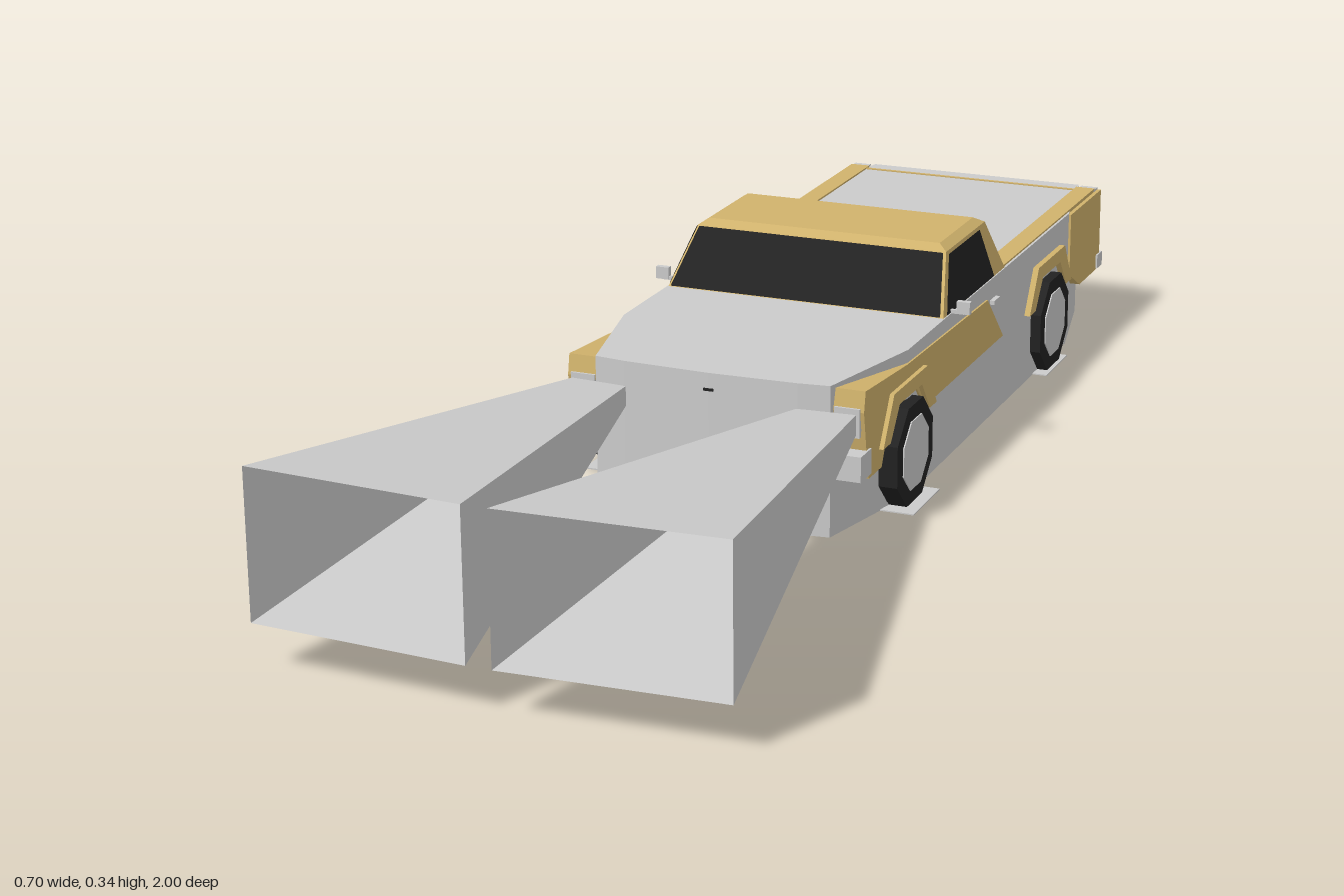
import * as THREE from 'three';

const mat = (name, color, side = THREE.FrontSide) => {
  const m = new THREE.MeshStandardMaterial({ color, side, flatShading: true });
  m.name = name;
  return m;
};

export function createModel() {
  const car = new THREE.Group();
  car.name = 'pickupCar';
  const grey = mat('lightGrey', 0xcbcbcb, THREE.DoubleSide);
  const gold = mat('goldPaint', 0xd0b26c);
  const black = mat('blackGlassAndRubber', 0x222222, THREE.DoubleSide);

  const add = (name, geo, m) => {
    const mesh = new THREE.Mesh(geo, m);
    mesh.name = name;
    car.add(mesh);
    return mesh;
  };
  const box = (name, m, w, h, d, x, y, z) =>
    add(name, new THREE.BoxGeometry(w, h, d), m).position.set(x, y, z);
  const shapeOf = pts => new THREE.Shape(pts.map(p => new THREE.Vector2(...p)));

  // Side profile in (z, y), extruded inwards from x = outer, on both sides
  const sidePanels = (name, m, pts, outer, depth) => {
    for (const s of [1, -1]) {
      const g = new THREE.ExtrudeGeometry(shapeOf(pts), { depth, bevelEnabled: false });
      g.rotateY(-Math.PI / 2);
      g.translate(s > 0 ? outer : depth - outer, 0, 0);
      add(name, g, m);
    }
  };

  // Triangle surface from a list of four-cornered faces
  const quads = faces => {
    const pos = [];
    for (const [a, b, c, d] of faces) pos.push(...a, ...b, ...c, ...a, ...c, ...d);
    const g = new THREE.BufferGeometry();
    g.setAttribute('position', new THREE.Float32BufferAttribute(pos, 3));
    g.computeVertexNormals();
    return g;
  };

  // Main hull: tapered plan, extruded upwards
  const half = [[0.14, 0.241], [0.19, 0.235], [0.237, 0.03], [0.237, -0.8], [0.196, -0.995]];
  const plan = [[0, 0.246], ...half, ...half.map(([x, z]) => [-x, z]).reverse()];
  const hull = new THREE.ExtrudeGeometry(
    shapeOf(plan.map(([x, z]) => [x, -z])), { depth: 0.238, bevelEnabled: false });
  hull.rotateX(-Math.PI / 2);
  add('hull', hull, grey);

  // Gold body sides
  sidePanels('frontFender', gold, [
    [0.222, 0.232], [0.228, 0.2], [0.215, 0.13], [0.205, 0.09], [0.15, 0.09], [0.12, 0.15],
    [0.085, 0.175], [0.005, 0.175], [-0.04, 0.125], [-0.43, 0.125], [-0.345, 0.21], [0.04, 0.218],
  ], 0.24, 0.05);
  sidePanels('rearQuarter', gold, [
    [-0.805, 0.235], [-0.988, 0.235], [-0.99, 0.09], [-0.87, 0.09], [-0.805, 0.125],
  ], 0.24, 0.05);
  for (const [z, name] of [[0.042, 'frontArch'], [-0.675, 'rearArch']]) {
    sidePanels(name, gold, [
      [0.12, 0.122], [0.075, 0.195], [-0.075, 0.195], [-0.12, 0.122],
      [-0.088, 0.122], [-0.05, 0.172], [0.05, 0.172], [0.088, 0.122],
    ].map(([a, y]) => [a + z, y]), 0.247, 0.02);
  }

  // Bed rails and tailgate seam
  for (const s of [1, -1]) box('bedRail', gold, 0.034, 0.006, 0.53, s * 0.216, 0.238, -0.705);
  box('tailgateSeam', gold, 0.4, 0.004, 0.006, 0, 0.238, -0.957);

  // Cab: three stacked rings [halfWidth, y, front z, rear z]
  const rings = [[0.235, 0.238, -0.138, -0.445], [0.213, 0.325, -0.21, -0.402], [0.198, 0.335, -0.222, -0.385]]
    .map(([x, y, f, r]) => [[-x, y, f], [x, y, f], [x, y, r], [-x, y, r]]);
  const cab = [rings[2]];
  for (let i = 0; i < 2; i++)
    for (let j = 0; j < 4; j++) {
      const k = (j + 1) % 4;
      cab.push([rings[i][j], rings[i][k], rings[i + 1][k], rings[i + 1][j]]);
    }
  add('cab', quads(cab), gold);

  // Cab glass: thin faces just outside the lower cab walls
  const pane = (name, j, u0, u1, v0, v1) => {
    const V = p => new THREE.Vector3(...p), k = (j + 1) % 4;
    const [a, b, c, d] = [rings[0][j], rings[0][k], rings[1][k], rings[1][j]].map(V);
    const n = b.clone().sub(a).cross(d.clone().sub(a)).normalize().multiplyScalar(0.003);
    const at = (u, v) => a.clone().lerp(b, u).lerp(d.clone().lerp(c, u), v).add(n).toArray();
    add(name, quads([[at(u0, v0), at(u1, v0), at(u1, v1), at(u0, v1)]]), black);
  };
  pane('windshield', 0, 0.01, 0.99, 0, 0.97);
  pane('leftWindow', 1, 0.03, 0.8, 0.02, 0.95);
  pane('rearWindow', 2, 0.08, 0.92, 0.05, 0.95);
  pane('rightWindow', 3, 0.2, 0.97, 0.02, 0.95);

  // Octagonal wheels with flat ground patches
  const disc = (name, m, r, w, x, z) => {
    const g = new THREE.CylinderGeometry(r, r, w, 8, 1, false, Math.PI / 8);
    g.rotateZ(Math.PI / 2);
    add(name, g, m).position.set(x, 0.08, z);
  };
  for (const s of [1, -1])
    for (const [z, reach] of [[0.042, 0.275], [-0.672, 0.262]]) {
      disc('tyre', black, 0.086, 0.03, s * 0.24, z);
      disc('hubcap', grey, 0.06, 0.006, s * 0.254, z);
      box('groundPatch', grey, reach - 0.2, 0.002, 0.12, s * (reach + 0.2) / 2, 0.001, z);
    }

  // Lamps, bumper ends, mirrors and handles
  for (const s of [1, -1]) {
    box('headlamp', grey, 0.04, 0.045, 0.008, s * 0.214, 0.183, 0.227);
    box('frontBumperEnd', grey, 0.052, 0.04, 0.045, s * 0.217, 0.118, 0.225);
    box('rearBumperEnd', grey, 0.05, 0.025, 0.03, s * 0.218, 0.105, -0.984);
    box('tailLamp', grey, 0.026, 0.075, 0.006, s * 0.22, 0.18, -0.99);
    box('rearCornerCap', grey, 0.03, 0.005, 0.025, s * 0.218, 0.236, -0.977);
    box('mirrorArm', grey, 0.03, 0.006, 0.006, s * 0.245, 0.242, -0.17);
    box('mirror', grey, 0.022, 0.02, 0.01, s * 0.258, 0.25, -0.17);
    box('doorHandle', grey, 0.008, 0.007, 0.03, s * 0.241, 0.2, -0.38);
  }
  box('hoodBadge', black, 0.016, 0.004, 0.004, 0, 0.212, 0.246);

  // Open, flaring headlight beams
  for (const s of [1, -1]) {
    const ring = (xi, xo, y0, y1, zi, zo) =>
      [[s * xi, y0, zi], [s * xo, y0, zo], [s * xo, y1, zo], [s * xi, y1, zi]];
    const near = ring(0.138, 0.23, 0.167, 0.198, 0.24, 0.234);
    const far = ring(0.019, 0.349, 0.07, 0.293, 1, 0.982);
    const faces = near.map((p, i) => {
      const k = (i + 1) % 4;
      const f = [p, near[k], far[k], far[i]];
      return s > 0 ? f : f.reverse();
    });
    add(s > 0 ? 'leftLightBeam' : 'rightLightBeam', quads(faces), grey);
  }
  return car;
}
